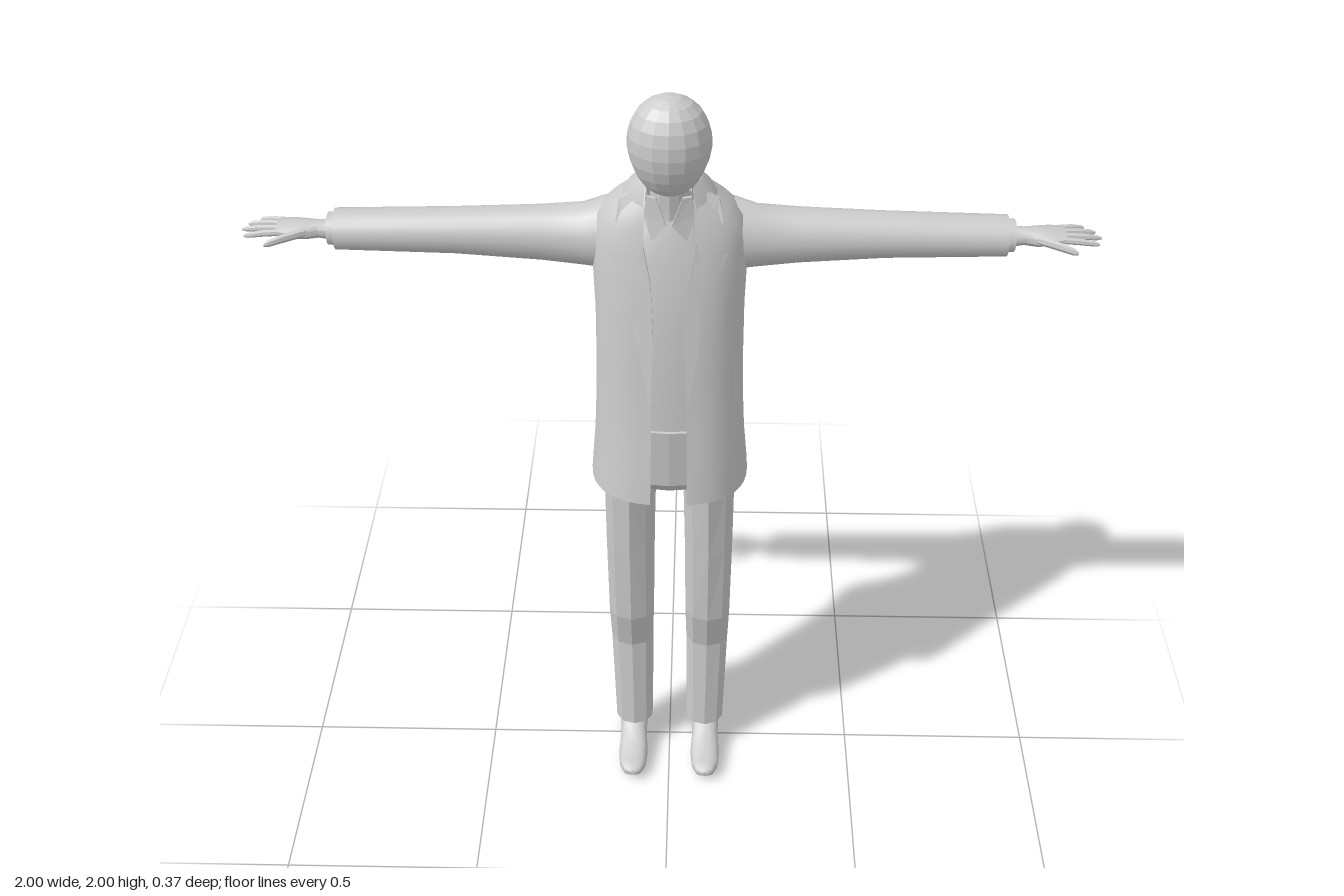
import * as THREE from 'three';
import { toCreasedNormals } from 'three/addons/utils/BufferGeometryUtils.js';

const smooth = new THREE.MeshStandardMaterial({ color: 0xcccccc, side: THREE.DoubleSide });
const faceted = new THREE.MeshStandardMaterial({ color: 0xcccccc, side: THREE.DoubleSide, flatShading: true });

// Skin a list of rings (arrays of [x, y, z]); closed rings wrap round and get end caps
function loft(rings, closed = true, crease = 0.7) {
  const n = rings[0].length, pos = rings.flat(2), idx = [];
  for (let i = 0; i < rings.length - 1; i++) {
    for (let j = 0; j < (closed ? n : n - 1); j++) {
      const k = (j + 1) % n, a = i * n + j, b = i * n + k;
      idx.push(a, b, b + n, a, b + n, a + n);
    }
  }
  if (closed) {
    [0, rings.length - 1].forEach((r, end) => {
      const c = pos.length / 3;
      for (let m = 0; m < 3; m++) pos.push(rings[r].reduce((s, p) => s + p[m], 0) / n);
      for (let j = 0; j < n; j++) {
        const a = r * n + j, b = r * n + (j + 1) % n;
        idx.push(c, end ? a : b, end ? b : a);
      }
    });
  }
  const g = new THREE.BufferGeometry();
  g.setAttribute('position', new THREE.Float32BufferAttribute(pos, 3));
  g.setIndex(idx);
  return toCreasedNormals(g, crease);
}

// Unit superellipse ring as [sin, cos] pairs; a lower power is boxier
const power = (v, p) => Math.sign(v) * Math.abs(v) ** p;
function oval(n, p = 1, from = 0, to = Math.PI * 2, open = false) {
  return Array.from({ length: n }, (_, i) => {
    const t = from + (to - from) * i / (open ? n - 1 : n);
    return [power(Math.sin(t), p), power(Math.cos(t), p)];
  });
}

// Upright section: half width, front z, back z
const level = (y, xc, a, zf, zb, pts, backLift = 0) => pts.map(([s, c]) => [
  xc + a * s, y + backLift * Math.max(0, -c), (zf + zb) / 2 + c * (zf - zb) / 2]);
// Section across the arm
const across = (x, yc, ry, zc, rz, n) => oval(n).map(([s, c]) => [x, yc + ry * c, zc + rz * s]);

function add(parent, name, geometry, material = smooth) {
  const mesh = new THREE.Mesh(geometry, material);
  mesh.name = name;
  parent.add(mesh);
  return mesh;
}

// Cloth shell open down the front by a half gap at each level
function openShell(rows, n, p, hemLift = 0) {
  return loft(rows.map(([y, a, zf, zb, gap], i) => {
    const t = Math.asin((gap / a) ** (1 / p));
    return level(y, 0, a, zf, zb, oval(n, p, t, Math.PI * 2 - t, true), i ? 0 : hemLift);
  }), false, 0.8);
}

// Flat cloth piece, bent over the chest
function leaf(points, zAt, depth) {
  const g = new THREE.ExtrudeGeometry(new THREE.Shape(points.map(p => new THREE.Vector2(...p))),
    { depth, bevelEnabled: false });
  const v = g.attributes.position;
  for (let i = 0; i < v.count; i++) v.setZ(i, v.getZ(i) + zAt(v.getX(i), v.getY(i)));
  g.computeVertexNormals();
  return g;
}

function makeSide() {
  const side = new THREE.Group();

  // Sleeve, shirt cuff
  add(side, 'sleeve', loft([
    [0.08, 1.62, 0.085, -0.045, 0.08], [0.15, 1.617, 0.088, -0.048, 0.078], [0.2, 1.61, 0.076, -0.05, 0.068],
    [0.3, 1.612, 0.067, -0.05, 0.06], [0.5, 1.614, 0.055, -0.052, 0.055], [0.78, 1.613, 0.048, -0.054, 0.051],
  ].map(r => across(...r, 20))));
  add(side, 'cuff', loft([[0.76, 1.613, 0.039, -0.054, 0.041], [0.797, 1.613, 0.038, -0.054, 0.04]]
    .map(r => across(...r, 16))));

  // Hand: palm, four fingers and thumb
  const hand = new THREE.Group();
  hand.name = 'hand';
  side.add(hand);
  add(hand, 'palm', loft([
    [0.77, 1.61, 0.026, -0.054, 0.028], [0.82, 1.613, 0.021, -0.053, 0.023], [0.85, 1.614, 0.022, -0.05, 0.032],
    [0.88, 1.615, 0.019, -0.052, 0.04], [0.915, 1.617, 0.012, -0.055, 0.037],
  ].map(r => across(...r, 10))));
  const digits = [['littleFinger', 0.905, -0.085, 0.966, -0.1, 0.007], ['ringFinger', 0.905, -0.066, 0.99, -0.078, 0.008],
    ['middleFinger', 0.905, -0.046, 1.0, -0.052, 0.008], ['indexFinger', 0.905, -0.026, 0.99, -0.022, 0.008],
    ['thumb', 0.845, -0.03, 0.935, 0.019, 0.011]];
  for (const [name, x0, z0, x1, z1, r] of digits) {
    add(hand, name, loft([[0, 1], [0.5, 1], [0.88, 0.8], [1, 0.35]].map(([t, s]) => across(
      x0 + (x1 - x0) * t, 1.617 - 0.008 * t * t, r * s, z0 + (z1 - z0) * t, r * s, 7))));
  }

  // Trouser leg
  add(side, 'trouserLeg', loft([
    [0.095, 0.098, 0.052, 0.058, -0.058], [0.39, 0.101, 0.058, 0.05, -0.085], [0.51, 0.101, 0.061, 0.08, -0.062],
    [0.75, 0.101, 0.064, 0.097, -0.095], [0.95, 0.099, 0.067, 0.11, -0.13], [1.03, 0.092, 0.07, 0.11, -0.135],
  ].map(([y, xc, a, zf, zb]) => level(y, xc, a, zf, zb, oval(10, 0.85)))), faceted);

  // Shoe: upper and heel block
  add(side, 'shoe', loft([
    [-0.056, 0.028, 0.02, 0.085], [-0.035, 0.036, 0.018, 0.112], [0.015, 0.037, 0.02, 0.112], [0.05, 0.036, 0.012, 0.08],
    [0.1, 0.04, 0, 0.055], [0.15, 0.036, 0.006, 0.047], [0.178, 0.024, 0.016, 0.043], [0.186, 0.01, 0.024, 0.037],
  ].map(([z, w, y0, y1]) => oval(14, 0.75).map(([s, c]) => [0.1 + w * c, (y0 + y1) / 2 + s * (y1 - y0) / 2, z]))));
  add(side, 'heel', new THREE.BoxGeometry(0.066, 0.032, 0.062)).position.set(0.1, 0.016, -0.023);

  // Lapel with its notch, upper collar flap, shirt collar point
  const chest = (x, y) => 0.143 - (y - 1.23) * 0.155 - x * x * 1.6;
  add(side, 'lapel', leaf([[0.043, 1.23], [0.07, 1.4], [0.107, 1.56], [0.13, 1.625], [0.072, 1.615],
    [0.06, 1.66], [0.042, 1.56], [0.036, 1.42]], chest, 0.012), faceted);
  add(side, 'collarFlap', leaf([[0.06, 1.655], [0.078, 1.625], [0.1, 1.65], [0.122, 1.7], [0.112, 1.745],
    [0.06, 1.775], [0.048, 1.72]], (x, y) => chest(x, y) - 0.004 - Math.max(0, y - 1.68) * 0.35, 0.012), faceted);
  add(side, 'shirtCollar', leaf([[0.006, 1.7], [0.04, 1.66], [0.058, 1.72], [0.05, 1.765], [0.03, 1.765]],
    (x, y) => 0.069 - (y - 1.66) * 0.1 - x * x * 4, 0.008), faceted);
  return side;
}

export function createModel() {
  const model = new THREE.Group();
  model.name = 'suitedFigure';

  // Egg-shaped head and neck
  const head = new THREE.SphereGeometry(1, 16, 12);
  const v = head.attributes.position;
  for (let i = 0; i < v.count; i++) {
    const y = v.getY(i), w = 1 + 0.1 * y;
    v.setXYZ(i, v.getX(i) * 0.094 * w, 1.88 + y * 0.12, 0.034 + v.getZ(i) * 0.083 * w);
  }
  add(model, 'head', head, faceted);
  add(model, 'neck', loft([[1.64, 0.05, 0.055, -0.05], [1.72, 0.045, 0.056, -0.045], [1.8, 0.042, 0.062, -0.03]]
    .map(([y, a, f, b]) => level(y, 0, a, f, b, oval(12)))), faceted);

  // Shirt and trouser top inside the jacket
  add(model, 'shirt', loft([
    [1.1, 0.15, 0.12, -0.11], [1.3, 0.15, 0.112, -0.1], [1.45, 0.15, 0.105, -0.12],
    [1.6, 0.14, 0.084, -0.12], [1.68, 0.09, 0.064, -0.09], [1.715, 0.05, 0.05, -0.05],
  ].map(([y, a, f, b]) => level(y, 0, a, f, b, oval(20, 0.8)))));
  add(model, 'trouserTop', loft([[0.95, 0.1, 0.08, -0.09], [0.99, 0.15, 0.113, -0.13], [1.16, 0.155, 0.126, -0.115]]
    .map(([y, a, f, b]) => level(y, 0, a, f, b, oval(14, 0.75)))), faceted);

  // Jacket body: level, half width, front z, back z, half gap
  add(model, 'jacket', openShell([
    [0.97, 0.195, 0.165, -0.18, 0.045], [1.1, 0.184, 0.15, -0.152, 0.043], [1.2, 0.179, 0.137, -0.132, 0.042],
    [1.3, 0.176, 0.128, -0.122, 0.044], [1.45, 0.176, 0.118, -0.147, 0.05], [1.55, 0.18, 0.104, -0.16, 0.055],
    [1.63, 0.18, 0.09, -0.155, 0.058], [1.685, 0.168, 0.077, -0.138, 0.058], [1.72, 0.135, 0.067, -0.118, 0.057],
    [1.75, 0.098, 0.056, -0.096, 0.055], [1.775, 0.07, 0.045, -0.068, 0.052],
  ], 40, 0.8, 0.04));

  // Turned-down jacket collar round the neck
  add(model, 'jacketCollar', openShell([
    [1.735, 0.112, 0.066, -0.098, 0.06], [1.765, 0.096, 0.06, -0.084, 0.056],
    [1.79, 0.074, 0.052, -0.066, 0.054], [1.78, 0.062, 0.048, -0.056, 0.05], [1.73, 0.06, 0.046, -0.054, 0.05],
  ], 24, 0.95));

  // Left side and its mirror
  const left = makeSide(), right = makeSide();
  left.name = 'leftSide';
  right.name = 'rightSide';
  right.scale.x = -1;
  model.add(left, right);
  return model;
}
